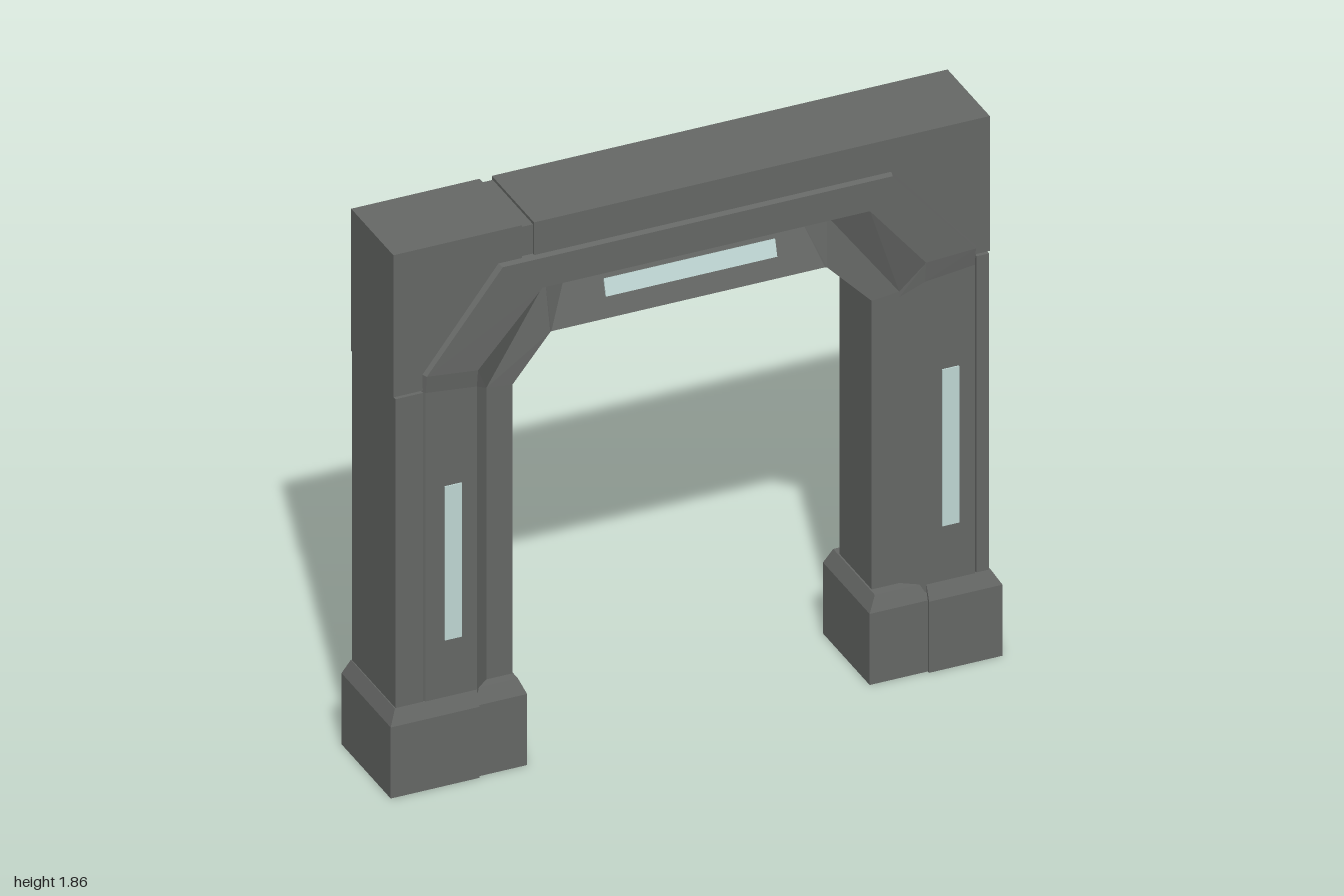
import * as THREE from 'three';

// Skin a list of closed rings of [x, y, z] points with flat faces and fan caps.
function loft(rings) {
  const pos = [];
  const tri = (a, b, c) => pos.push(...a, ...b, ...c);
  const n = rings[0].length;
  for (let i = 0; i < rings.length - 1; i++) {
    for (let j = 0; j < n; j++) {
      const k = (j + 1) % n;
      const a = rings[i][j], b = rings[i][k], c = rings[i + 1][k], d = rings[i + 1][j];
      tri(a, b, c);
      tri(a, c, d);
    }
  }
  const first = rings[0], last = rings[rings.length - 1];
  for (let j = 1; j < n - 1; j++) {
    tri(first[0], first[j + 1], first[j]);
    tri(last[0], last[j], last[j + 1]);
  }
  const g = new THREE.BufferGeometry();
  g.setAttribute('position', new THREE.Float32BufferAttribute(pos, 3));
  g.computeVertexNormals();
  return g;
}

export function createModel() {
  const model = new THREE.Group();
  model.name = 'gateway';

  const metal = new THREE.MeshStandardMaterial({ color: 0x666866 });
  metal.name = 'dark grey metal';
  const glow = new THREE.MeshStandardMaterial({ color: 0xc0d8d5 });
  glow.name = 'pale light';

  const add = (name, geometry, material = metal) => {
    const mesh = new THREE.Mesh(geometry, material);
    mesh.name = name;
    model.add(mesh);
    return mesh;
  };
  const box = (name, x0, x1, y0, y1, halfDepth) => {
    add(name, new THREE.BoxGeometry(x1 - x0, y1 - y0, halfDepth * 2))
      .position.set((x0 + x1) / 2, (y0 + y1) / 2, 0);
  };
  const plate = (name, points, halfDepth) => {
    const shape = new THREE.Shape(points.map(([x, y]) => new THREE.Vector2(x, y)));
    const g = new THREE.ExtrudeGeometry(shape, { depth: halfDepth * 2, bevelEnabled: false });
    g.translate(0, 0, -halfDepth);
    add(name, g);
  };

  // Outer shell: legs, left corner block, recessed seam and header with right corner
  box('rightOuterLeg', -0.975, -0.885, 0.25, 1.36, 0.155);
  box('leftOuterLeg', 0.925, 0.965, 0.25, 1.385, 0.155);
  plate('rightCornerBlock', [
    [-0.98, 1.365], [-0.87, 1.365], [-0.87, 1.42], [-0.62, 1.72],
    [-0.56, 1.72], [-0.56, 1.855], [-0.98, 1.855],
  ], 0.15);
  box('headerSeam', -0.57, -0.51, 1.7, 1.845, 0.143);
  plate('header', [
    [-0.52, 1.72], [0.63, 1.72], [0.91, 1.42], [0.91, 1.39], [0.97, 1.39],
    [0.97, 1.855], [-0.52, 1.855],
  ], 0.15);

  // Inner arch stations: band outer edge, band inner edge, groove, inner lip,
  // then half depths of the band, groove and lip
  const stations = [
    [[-0.89, 0.2], [-0.71, 0.2], [-0.66, 0.2], [-0.575, 0.2], 0.157, 0.115, 0.115],
    [[-0.89, 1.36], [-0.71, 1.34], [-0.66, 1.28], [-0.575, 1.27], 0.157, 0.115, 0.115],
    [[-0.89, 1.42], [-0.71, 1.40], [-0.66, 1.30], [-0.575, 1.29], 0.165, 0.115, 0.115],
    [[-0.64, 1.745], [-0.50, 1.635], [-0.46, 1.61], [-0.45, 1.44], 0.168, 0.10, 0.113],
    [[-0.60, 1.745], [-0.45, 1.635], [-0.38, 1.60], [-0.445, 1.44], 0.168, 0.065, 0.11],
    [[0.61, 1.745], [0.50, 1.635], [0.39, 1.60], [0.45, 1.44], 0.168, 0.065, 0.11],
    [[0.65, 1.745], [0.57, 1.635], [0.46, 1.61], [0.455, 1.44], 0.168, 0.10, 0.113],
    [[0.93, 1.42], [0.755, 1.41], [0.69, 1.30], [0.60, 1.29], 0.165, 0.115, 0.115],
    [[0.93, 1.36], [0.755, 1.34], [0.69, 1.28], [0.60, 1.27], 0.157, 0.115, 0.115],
    [[0.93, 0.2], [0.755, 0.2], [0.69, 0.2], [0.60, 0.2], 0.157, 0.115, 0.115],
  ];
  add('innerArch', loft(stations.map(([outer, inner, groove, lip, zBand, zGroove, zLip]) => {
    const bevel = outer.map((v, i) => v + (inner[i] - v) * 0.07);
    const front = [
      [...outer, 0.14], [...bevel, zBand], [...inner, zBand], [...groove, zGroove], [...lip, zLip],
    ];
    const back = front.map(([x, y, z]) => [x, y, -z]).reverse();
    return [...front, ...back];
  })));

  // Feet: two blocks each with a chamfered top
  const foot = (name, x0, x1, z, inset0, inset1) => {
    const ring = (y, t) => {
      const a = x0 + inset0 * t, b = x1 - inset1 * t, d = z - 0.018 * t;
      return [[a, y, d], [b, y, d], [b, y, -d], [a, y, -d]];
    };
    add(name, loft([ring(0, 0), ring(0.245, 0), ring(0.295, 1)]));
  };
  foot('rightFootOuter', -1, -0.71, 0.175, 0.022, 0);
  foot('rightFootInner', -0.72, -0.55, 0.166, 0, 0.022);
  foot('leftFootOuter', 0.76, 1, 0.175, 0, 0.03);
  foot('leftFootInner', 0.57, 0.77, 0.166, 0.025, 0);

  // Light strips on the front
  const strip = (name, w, h, x, y, z, tilt = 0) => {
    const mesh = add(name, new THREE.BoxGeometry(w, h, 0.008), glow);
    mesh.position.set(x, y, z);
    mesh.rotation.x = tilt;
  };
  strip('rightLegLight', 0.055, 0.53, -0.788, 0.757, 0.157);
  strip('leftLegLight', 0.055, 0.54, 0.838, 0.755, 0.157);
  strip('headerLight', 0.56, 0.056, 0.02, 1.532, 0.085, -0.274);

  return model;
}
